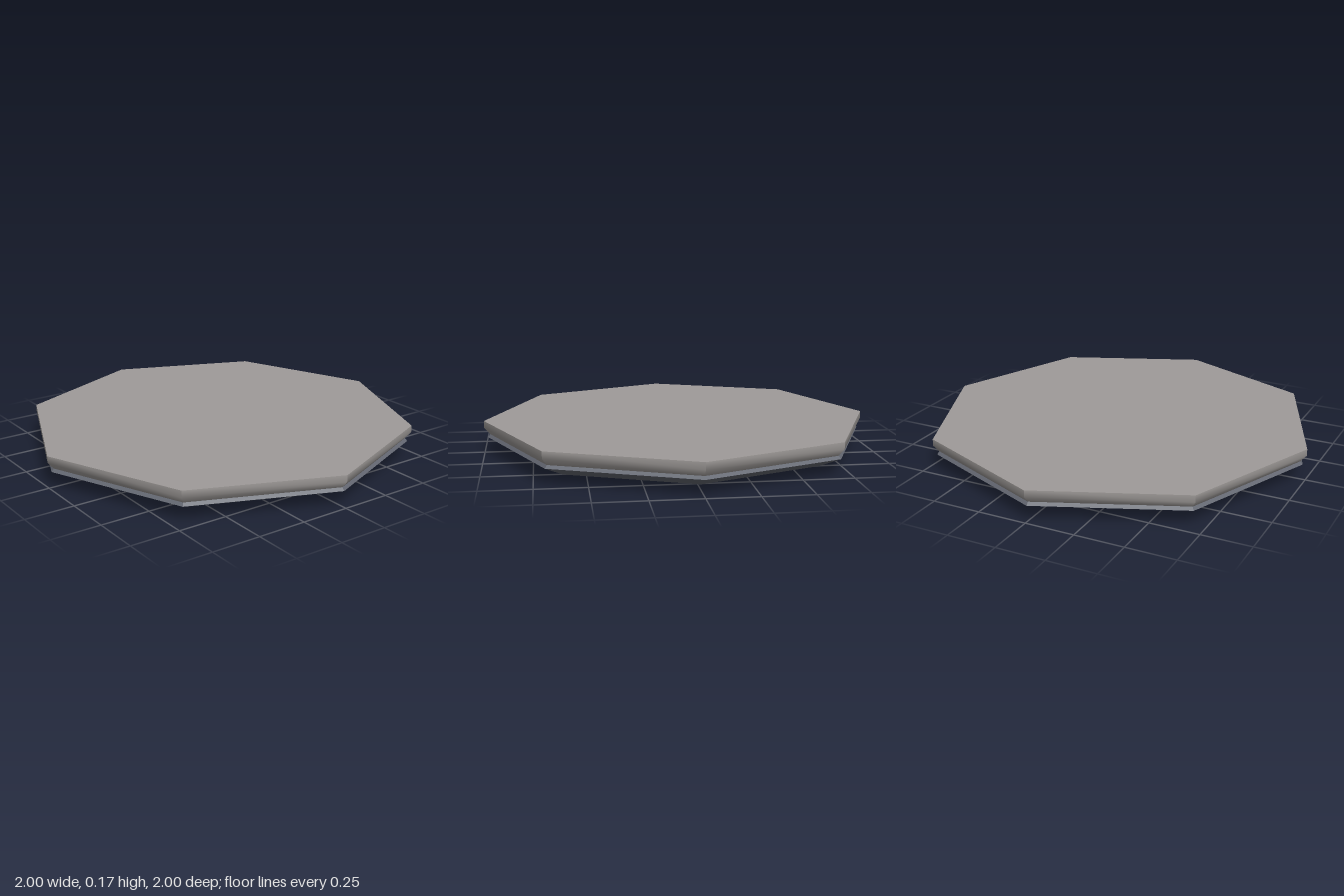
import * as THREE from 'three';
import { mergeGeometries } from 'three/addons/utils/BufferGeometryUtils.js';

const SIDES = 8;
const STEP = Math.PI * 2 / SIDES;
const paint = (name, color) => {
  const m = new THREE.MeshStandardMaterial({ color });
  m.name = name;
  return m;
};

// Eight-sided band from [radius, height] points, listed bottom to top.
// Corners stay sharp; rounded = true blends the shading up each side.
function band(name, profile, rounded, material) {
  const points = profile.map(([r, y]) => new THREE.Vector2(r, y));
  const sides = [];
  for (let i = 0; i < SIDES; i++) {
    const lathe = new THREE.LatheGeometry(points, 1, i * STEP, STEP);
    const side = rounded ? lathe : lathe.toNonIndexed();
    side.computeVertexNormals();
    sides.push(side);
  }
  const mesh = new THREE.Mesh(mergeGeometries(sides), material);
  mesh.name = name;
  return mesh;
}

// Flat octagon facing up (dir = 1) or down (dir = -1)
function cap(name, radius, y, dir, material) {
  const mesh = new THREE.Mesh(new THREE.CircleGeometry(radius, SIDES), material);
  mesh.rotation.x = -dir * Math.PI / 2;
  mesh.position.y = y;
  mesh.name = name;
  return mesh;
}

export function createModel() {
  const stone = paint('warm grey', 0x9f9b99);
  const dark = paint('slate', 0x646872);
  const base = paint('light grey', 0xcfcfcf);

  const model = new THREE.Group();
  model.name = 'octagonalPlatform';

  // Upper slab: straight edge, then a taper down to the seam
  model.add(cap('slabTop', 1, 0.165, 1, stone));
  model.add(band('slabEdge', [[0.97, 0.095], [1, 0.13], [1, 0.165]], true, stone));

  // Lower hull: two shallow slopes and a small lip under the slab
  model.add(band('lowerHull', [[0.74, 0], [0.865, 0.028], [0.983, 0.08], [0.97, 0.095]], false, dark));

  // Flat underside
  model.add(cap('underside', 0.74, 0, -1, base));
  return model;
}
